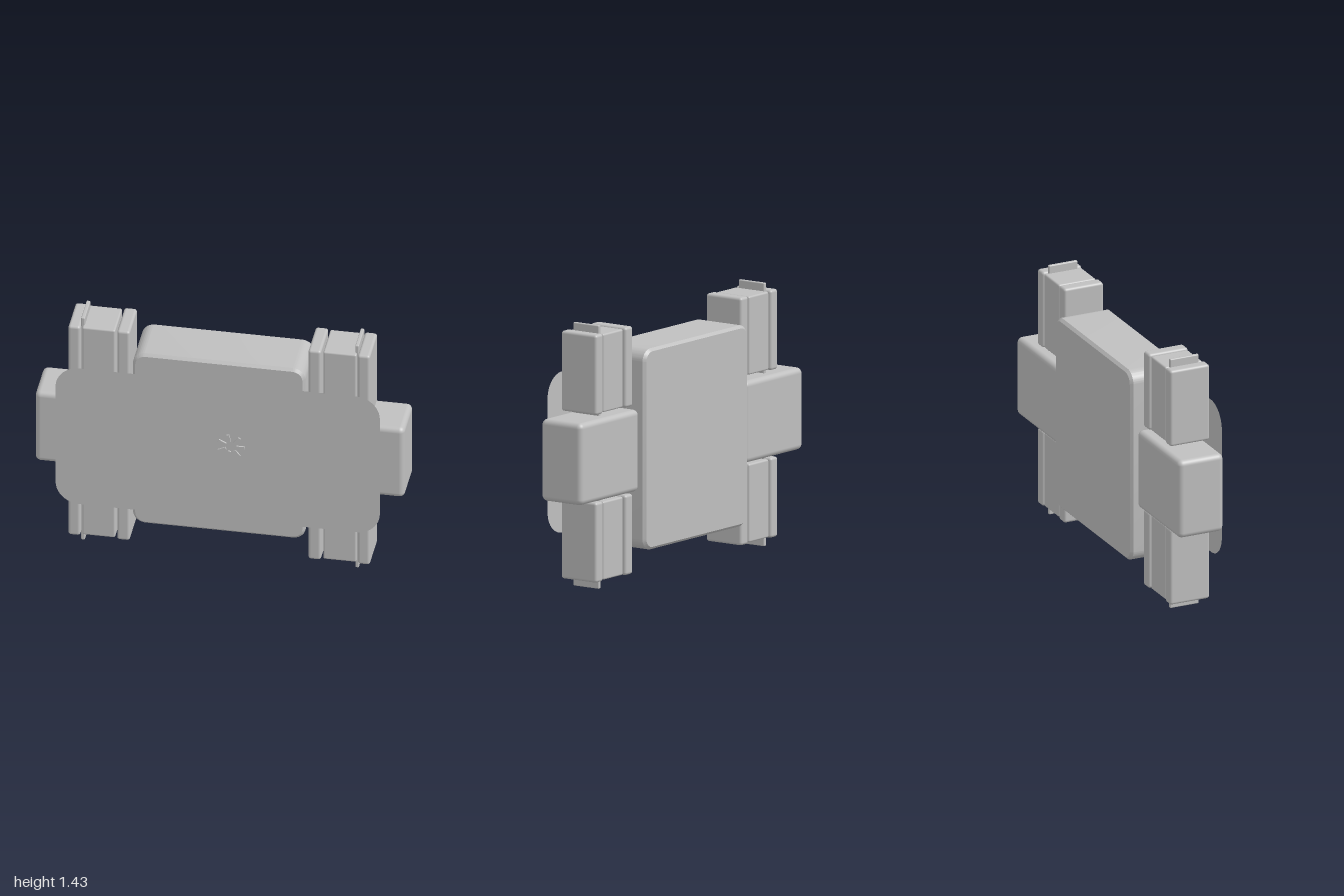
import * as THREE from 'three';
import { toCreasedNormals } from 'three/addons/utils/BufferGeometryUtils.js';
import { RoundedBoxGeometry } from 'three/addons/geometries/RoundedBoxGeometry.js';

// Rounded rectangle between two corners
function roundedRect(x0, y0, x1, y1, r) {
  const s = new THREE.Shape();
  s.moveTo(x0 + r, y0);
  s.lineTo(x1 - r, y0);
  s.absarc(x1 - r, y0 + r, r, -Math.PI / 2, 0, false);
  s.lineTo(x1, y1 - r);
  s.absarc(x1 - r, y1 - r, r, 0, Math.PI / 2, false);
  s.lineTo(x0 + r, y1);
  s.absarc(x0 + r, y1 - r, r, Math.PI / 2, Math.PI, false);
  s.lineTo(x0, y0 + r);
  s.absarc(x0 + r, y0 + r, r, Math.PI, Math.PI * 1.5, false);
  return s;
}

export function createModel() {
  const model = new THREE.Group();
  model.name = 'model';
  const grey = new THREE.MeshStandardMaterial({ color: 0xbfbfbf });
  grey.name = 'grey';
  const greySheet = new THREE.MeshStandardMaterial({ color: 0xbfbfbf, side: THREE.DoubleSide });
  greySheet.name = 'grey sheet';

  function add(name, geometry, material = grey, parent = model) {
    const mesh = new THREE.Mesh(geometry, material);
    mesh.name = name;
    parent.add(mesh);
    return mesh;
  }

  // Soft-edged box given by its limits on each axis
  function softBox(name, [x0, x1], [y0, y1], [z0, z1], radius, parent) {
    const geometry = new RoundedBoxGeometry(x1 - x0, y1 - y0, z1 - z0, 4, radius);
    const mesh = add(name, geometry, grey, parent);
    mesh.position.set((x0 + x1) / 2, (y0 + y1) / 2, (z0 + z1) / 2);
  }

  // Central body: rounded slab with chamfered front and back rims
  const bevel = 0.015;
  const bodyShape = roundedRect(-0.47 + bevel, 0.17 + bevel, 0.465 - bevel, 1.262 - bevel, 0.055);
  const body = new THREE.ExtrudeGeometry(bodyShape, {
    depth: 0.305 - 2 * bevel, bevelEnabled: true, bevelSize: bevel,
    bevelThickness: bevel, bevelSegments: 1, curveSegments: 10,
  });
  body.translate(0, 0, -0.19 + bevel);
  add('body', toCreasedNormals(body, 0.6));

  // Thin front panel
  const panel = new THREE.ShapeGeometry(roundedRect(-0.88, 0.28, 0.876, 1.154, 0.13), 16);
  add('frontPanel', panel, greySheet).position.z = 0.15;

  // Ring of seven radial dashes floating before the panel
  const burst = new THREE.Group();
  burst.name = 'dashRing';
  burst.position.set(0.076, 0.775, 0.187);
  for (let i = 0; i < 7; i++) {
    const angle = (i / 7) * Math.PI * 2;
    const dash = add('dash', new THREE.BoxGeometry(0.045, 0.015, 0.009), grey, burst);
    dash.position.set(Math.cos(angle) * 0.053, Math.sin(angle) * 0.053, 0);
    dash.rotation.z = angle;
  }
  model.add(burst);

  // Side assemblies: middle block, stacked slats above and below, and a thin strip
  const sides = [
    { name: 'right', block: [-1, -0.48], outer: [-0.82, -0.755], middle: [-0.746, -0.567],
      inner: [-0.556, -0.487], strip: [-0.756, -0.735] },
    { name: 'left', block: [0.47, 1], outer: [0.747, 0.814], middle: [0.56, 0.74],
      inner: [0.48, 0.549], strip: [0.729, 0.749] },
  ];
  for (const s of sides) {
    const side = new THREE.Group();
    side.name = s.name + 'Side';
    softBox('sideBlock', s.block, [0.495, 0.94], [-0.162, 0.106], 0.03, side);
    for (const [y0, y1] of [[0.955, 1.39], [0.045, 0.48]]) {
      softBox('outerSlat', s.outer, [y0, y1], [-0.126, 0.108], 0.015, side);
      softBox('middleSlat', s.middle, [y0 + 0.005, y1 - 0.005], [-0.12, 0.1], 0.01, side);
      softBox('innerSlat', s.inner, [y0, y1], [-0.126, 0.108], 0.015, side);
    }
    softBox('edgeStrip', s.strip, [0, 1.43], [-0.095, 0.075], 0.006, side);
    model.add(side);
  }
  return model;
}
